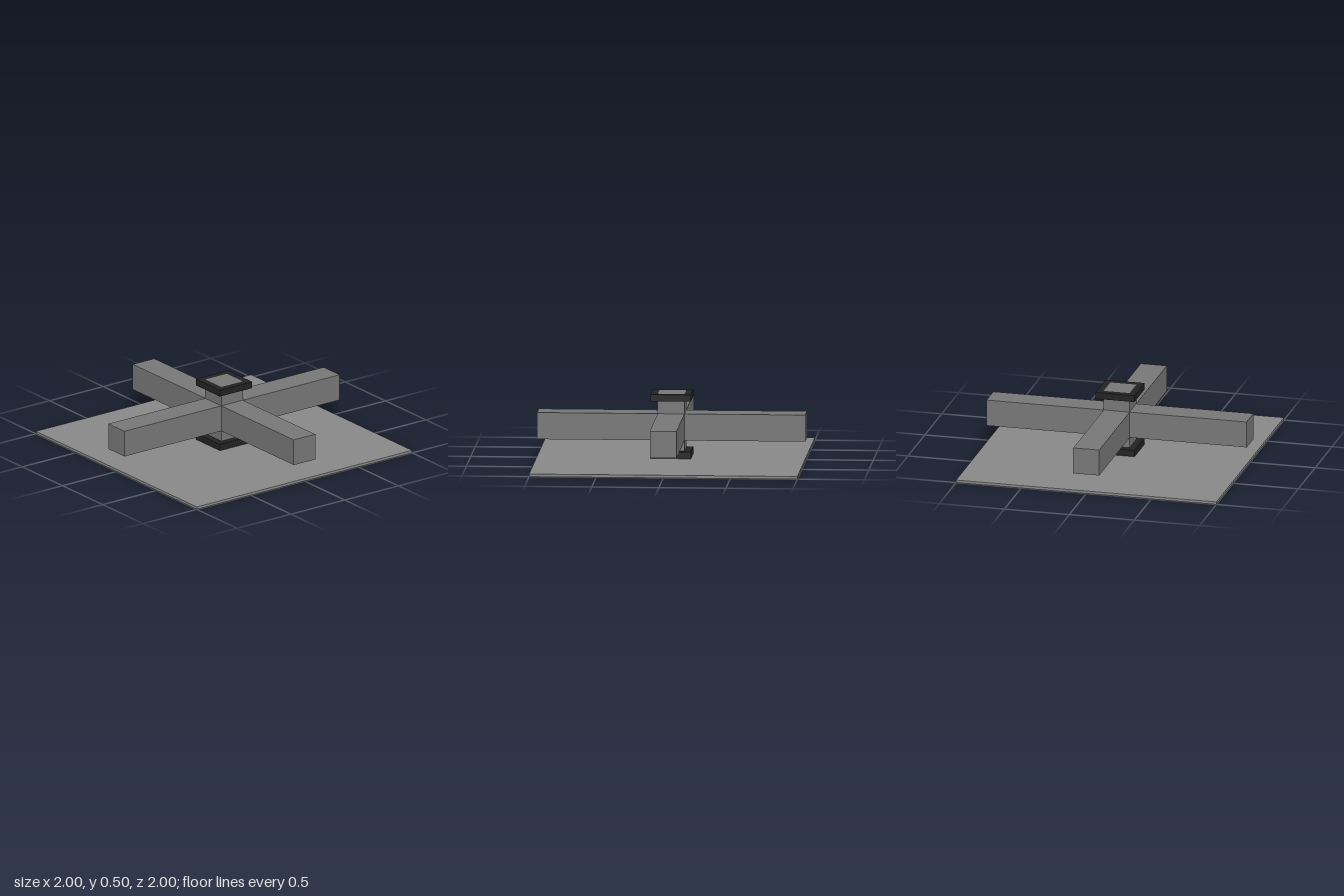
import * as THREE from 'three';

const rect = (C, w, d = w) => {
  const p = new C();
  p.moveTo(-w / 2, -d / 2);
  p.lineTo(w / 2, -d / 2);
  p.lineTo(w / 2, d / 2);
  p.lineTo(-w / 2, d / 2);
  p.closePath();
  return p;
};

// Square plate with a square hole, lying flat from y0 to y1
function frame(outer, inner, y0, y1) {
  const shape = rect(THREE.Shape, outer);
  shape.holes.push(rect(THREE.Path, inner));
  return new THREE.ExtrudeGeometry(shape, { depth: y1 - y0, bevelEnabled: false })
    .rotateX(-Math.PI / 2)
    .translate(0, y0, 0);
}

export function createModel() {
  const group = new THREE.Group();
  const plateGrey = new THREE.MeshStandardMaterial({ color: 0x888888 });
  const beamGrey = new THREE.MeshStandardMaterial({ color: 0x777777 });
  const black = new THREE.MeshStandardMaterial({ color: 0x222222 });
  const add = (name, geometry, material) => {
    const mesh = new THREE.Mesh(geometry, material);
    mesh.name = name;
    group.add(mesh);
  };

  // Thin floor plate, open where the lower collar sits
  add('basePlate', frame(2, 0.3, 0, 0.02), plateGrey);

  // Central post, flush with both collars
  add('post', new THREE.BoxGeometry(0.2, 0.5, 0.2).translate(0, 0.25, 0), beamGrey);
  add('lowerCollar', frame(0.3, 0.2, 0, 0.07), black);
  add('upperCollar', frame(0.3, 0.2, 0.45, 0.5), black);

  // Four arms reaching from the post to the plate edges
  for (let i = 0; i < 4; i++) {
    const arm = new THREE.BoxGeometry(0.9, 0.2, 0.2)
      .translate(0.55, 0.25, 0)
      .rotateY((i * Math.PI) / 2);
    add(['leftArm', 'backArm', 'rightArm', 'frontArm'][i], arm, beamGrey);
  }
  return group;
}
